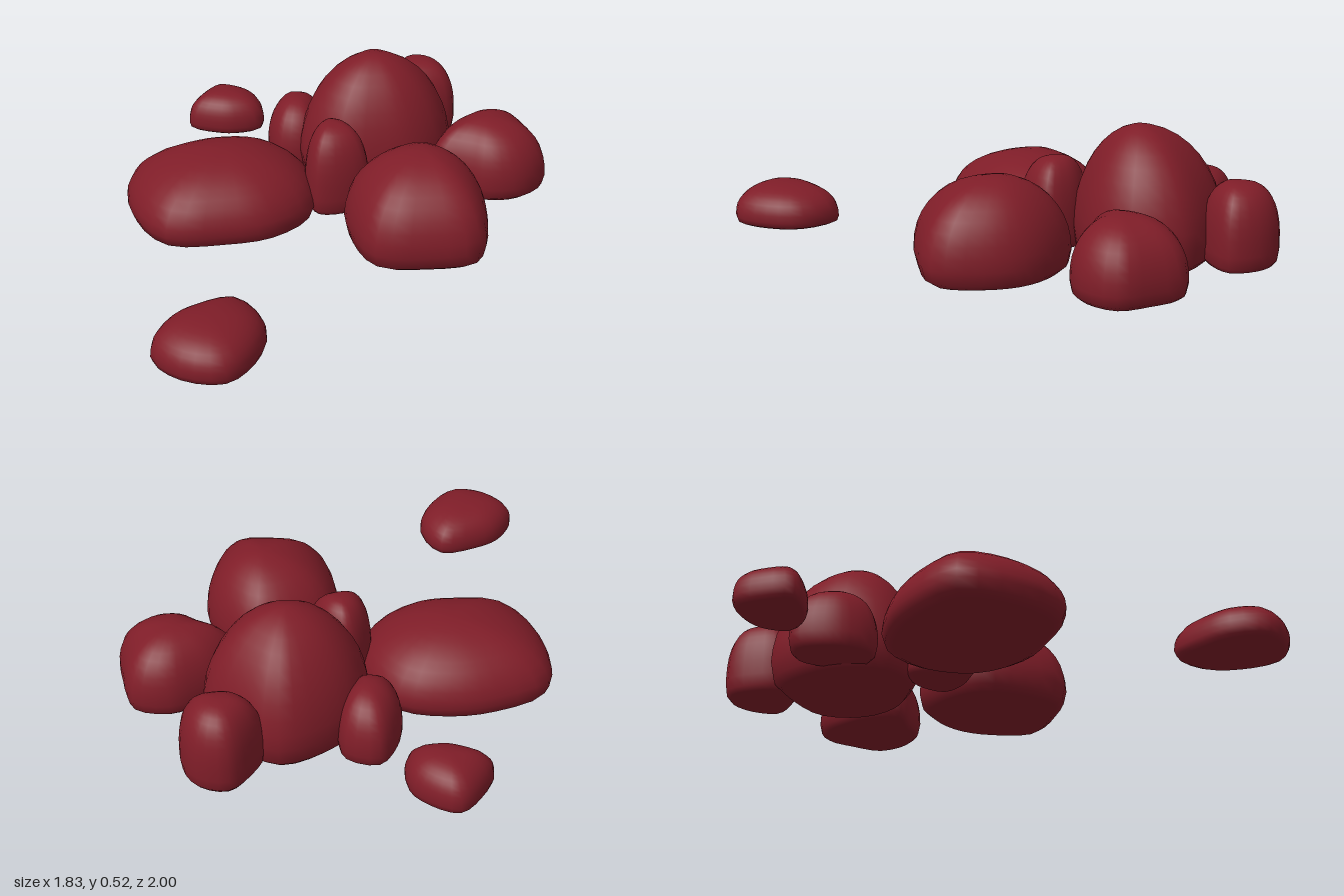
import * as THREE from 'three';
import { mergeVertices } from 'three/addons/utils/BufferGeometryUtils.js';

const material = new THREE.MeshStandardMaterial({ color: 0x7f1d28 });

// Each stone: peak position, floor and top heights, shoulder roundness (higher is
// boxier) and its reach at equal angles around the peak, starting at +x towards +z.
const stones = [
  { name: 'wideFlatStone', x: -0.36, z: -0.17, floor: 0, top: 0.28, round: 2,
    reach: [0.36, 0.36, 0.325, 0.31, 0.38, 0.38, 0.4, 0.315, 0.3, 0.34] },
  { name: 'tallStone', x: 0.32, z: -0.29, floor: 0.01, top: 0.525, round: 1.9,
    reach: [0.325, 0.3, 0.26, 0.24, 0.28, 0.31, 0.3, 0.295, 0.33, 0.3] },
  { name: 'frontStone', x: 0.29, z: 0.3, floor: 0.02, top: 0.385, round: 2.05,
    reach: [0.235, 0.255, 0.325, 0.3, 0.34, 0.3, 0.305, 0.28, 0.28, 0.24] },
  { name: 'leftStone', x: 0.7, z: -0.01, floor: 0.02, top: 0.31, round: 2.3,
    reach: [0.213, 0.245, 0.225, 0.2, 0.18, 0.25, 0.2, 0.18, 0.21, 0.24] },
  { name: 'backMiddleStone', x: 0.06, z: -0.5, floor: 0.02, top: 0.28, round: 2.3,
    reach: [0.12, 0.11, 0.155, 0.16, 0.13, 0.13, 0.18, 0.165] },
  { name: 'wedgedStone', x: 0.06, z: -0.07, floor: 0.02, top: 0.37, round: 2.6,
    reach: [0.115, 0.155, 0.14, 0.155, 0.12, 0.11, 0.13, 0.11] },
  { name: 'backLeftStone', x: 0.62, z: -0.54, floor: 0.03, top: 0.345, round: 2.7,
    reach: [0.15, 0.165, 0.13, 0.14, 0.16, 0.135, 0.16, 0.155] },
  { name: 'looseFrontStone', x: -0.71, z: 0.78, floor: 0.025, top: 0.182, round: 2.4,
    reach: [0.21, 0.19, 0.215, 0.2, 0.205, 0.165, 0.16, 0.23] },
  { name: 'looseBackStone', x: -0.15, z: -0.84, floor: 0.03, top: 0.19, round: 2.4,
    reach: [0.15, 0.17, 0.125, 0.12, 0.17, 0.14, 0.16, 0.135] },
];

// Stack shrinking copies of the outline from a flat underside up to the peak.
function stoneGeometry({ floor, top, round, reach }) {
  const corners = reach.map((radius, i) => {
    const angle = (i / reach.length) * Math.PI * 2;
    return new THREE.Vector3(radius * Math.cos(angle), 0, radius * Math.sin(angle));
  });
  const curve = new THREE.CatmullRomCurve3(corners, true, 'centripetal');
  const count = reach.length * 3;
  const waist = floor + (top - floor) * 0.2;

  // Levels as [height, scale]: underside, then a superellipse dome.
  const levels = [[floor, 0], [floor, 0.5], [floor, 0.86], [floor + (waist - floor) * 0.3, 0.96]];
  const steps = 10;
  for (let i = 0; i <= steps; i++) {
    const angle = (i / steps) * Math.PI / 2;
    const scale = i === steps ? 0 : Math.cos(angle) ** (2 / round);
    levels.push([waist + (top - waist) * Math.sin(angle) ** (2 / round), scale]);
  }

  const positions = [];
  const index = [];
  const last = levels.length - 1;
  levels.forEach(([y, scale], j) => {
    for (let i = 0; i < count; i++) {
      const p = curve.getPoint(i / count);
      positions.push(p.x * scale, y, p.z * scale);
      const a = j * count + i;
      const b = j * count + (i + 1) % count;
      if (j < last - 1) index.push(a, a + count, b + count);
      if (j > 0 && j < last - 1) index.push(a, b + count, b);
      if (j === last - 1) index.push(a, a + count, b);
    }
  });

  const geometry = new THREE.BufferGeometry();
  geometry.setAttribute('position', new THREE.Float32BufferAttribute(positions, 3));
  geometry.setIndex(index);
  const merged = mergeVertices(geometry, 1e-5);
  merged.computeVertexNormals();
  return merged;
}

export function createModel() {
  const group = new THREE.Group();
  group.name = 'stonePile';
  for (const stone of stones) {
    const mesh = new THREE.Mesh(stoneGeometry(stone), material);
    mesh.name = stone.name;
    mesh.position.set(stone.x, 0, stone.z);
    group.add(mesh);
  }
  return group;
}
